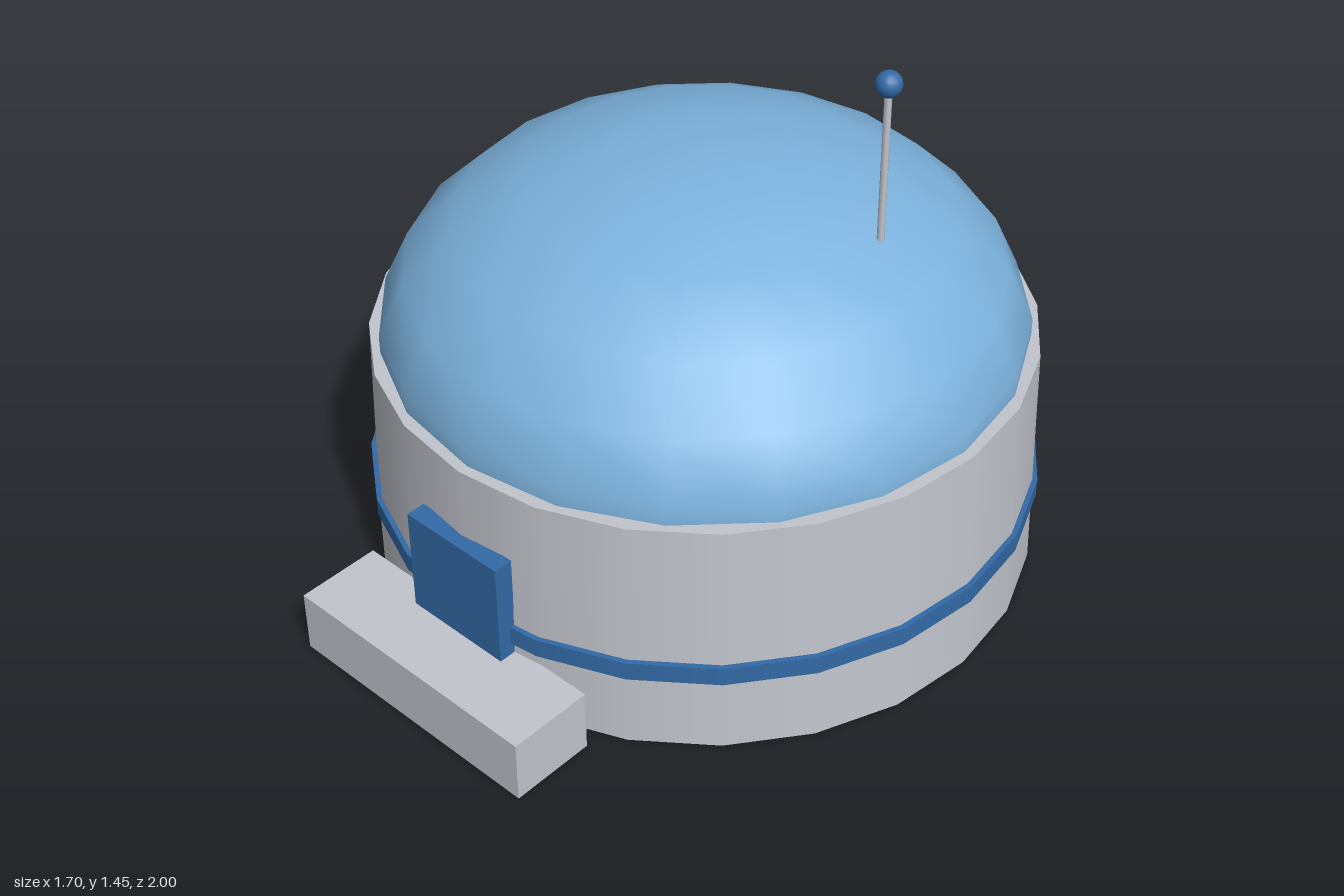
import * as THREE from 'three';

const mat = (name, color) => {
  const m = new THREE.MeshStandardMaterial({ color });
  m.name = name;
  return m;
};

export function createModel() {
  const model = new THREE.Group();
  model.name = 'domeHabitat';

  const grey = mat('hull grey', 0xc2c5cd);
  const sky = mat('dome blue', 0x7db3de);
  const blue = mat('trim blue', 0x336aa6);
  const navy = mat('panel navy', 0x253a55);

  const add = (name, geometry, material, x, y, z) => {
    const mesh = new THREE.Mesh(geometry, material);
    mesh.name = name;
    mesh.position.set(x, y, z);
    model.add(mesh);
    return mesh;
  };

  const cz = -0.03; // centre line of the round hull

  // Tapered drum with its trim band
  add('drum', new THREE.CylinderGeometry(0.826, 0.846, 0.63, 24), grey, 0, 0.315, cz);
  add('band', new THREE.CylinderGeometry(0.851, 0.851, 0.05, 24), blue, 0, 0.225, cz);

  // Flattened dome, its lower rings tucked inside the drum
  const step = Math.PI / 11;
  const dome = add('dome', new THREE.SphereGeometry(0.808, 20, 6, 0, Math.PI * 2, 0, step * 6), sky, 0, 0.605, cz);
  dome.scale.y = 0.505 / 0.808;

  // Entrance
  add('door', new THREE.BoxGeometry(0.294, 0.444, 0.05), blue, 0, 0.223, 0.811);
  add('doorStep', new THREE.BoxGeometry(0.732, 0.166, 0.22), grey, 0, 0.083, 0.89);

  // Antenna
  add('antennaRod', new THREE.CylinderGeometry(0.009, 0.009, 0.41, 8), grey, 0.457, 1.215, -0.123);
  add('antennaBall', new THREE.SphereGeometry(0.032, 14, 10), blue, 0.457, 1.42, -0.123);

  // Row of tilted solar panels at the back
  for (let i = 0; i < 3; i++) {
    const panel = add('solarPanel' + (i + 1), new THREE.BoxGeometry(0.294, 0.008, 0.175), navy,
      -0.588 + i * 0.3125, 0.109, -0.92);
    panel.rotation.x = -0.485;
  }

  return model;
}
